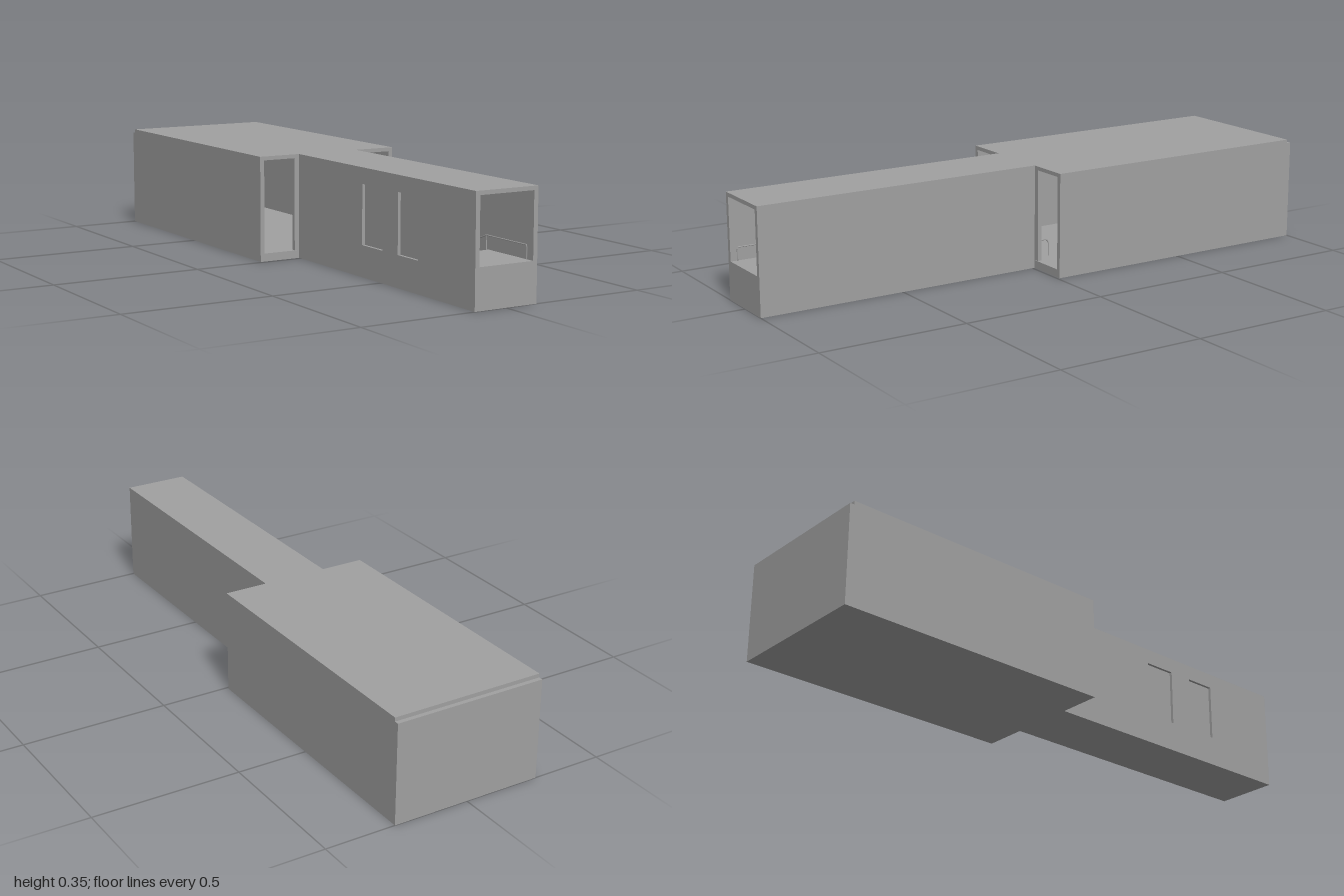
import * as THREE from 'three';

export function createModel() {
  const model = new THREE.Group();
  const grey = new THREE.MeshStandardMaterial({ color: 0xa0a0a0 });
  grey.name = 'plain grey';

  const add = (name, geometry) => {
    const mesh = new THREE.Mesh(geometry, grey);
    mesh.name = name;
    model.add(mesh);
    return mesh;
  };
  // box given by its limits on each axis
  const box = (name, x0, x1, y0, y1, z0, z1) =>
    add(name, new THREE.BoxGeometry(x1 - x0, y1 - y0, z1 - z0)
      .translate((x0 + x1) / 2, (y0 + y1) / 2, (z0 + z1) / 2));
  const rect = (Type, a0, a1, b0, b1) => new Type([[a0, b0], [a1, b0], [a1, b1], [a0, b1]]
    .map(([a, b]) => new THREE.Vector2(a, b)));
  // side profile drawn in (z, y), extruded from x0 to x1
  const sideExtrude = (name, shape, x0, x1) =>
    add(name, new THREE.ExtrudeGeometry(shape, { depth: x1 - x0, bevelEnabled: false })
      .rotateY(-Math.PI / 2).translate(x1, 0, 0));

  const top = 0.353, ceil = 0.34, floor = 0.027;
  const roomFront = -0.008, roomBack = -0.985;

  // room shell, open at the front on both sides of the corridor
  box('roomFloor', -0.26, 0.26, 0, floor, roomBack, roomFront);
  box('roomRoof', -0.26, 0.26, ceil, top, roomBack, roomFront);
  box('roomBackWall', -0.26, 0.26, 0, ceil, -1, roomBack);
  for (const s of [-1, 1]) {
    const [a, b] = [s * 0.245, s * 0.26].sort((p, q) => p - q);
    box('roomSideWall', a, b, floor, ceil, roomBack, roomFront);
    const [c, d] = [s * 0.097, s * 0.128].sort((p, q) => p - q);
    box('doorJamb', c, d, floor, ceil, -0.025, -0.01);
  }

  // raised frame on the inside of the back wall
  const frame = rect(THREE.Shape, -0.245, 0.245, floor, ceil);
  frame.holes.push(rect(THREE.Path, -0.223, 0.223, 0.043, 0.325));
  add('backWallFrame', new THREE.ExtrudeGeometry(frame, { depth: 0.015, bevelEnabled: false })
    .translate(0, 0, roomBack));

  // corridor roof, plain wall and wall with two door recesses
  box('corridorRoof', -0.112, 0.112, ceil, top, roomFront, 1);
  box('corridorLeftWall', 0.097, 0.112, 0, ceil, roomFront, 1);
  const wall = rect(THREE.Shape, roomFront, 1, 0, ceil);
  for (const [z0, z1] of [[0.39, 0.508], [0.595, 0.706]]) {
    wall.holes.push(rect(THREE.Path, z0, z1, 0.104, 0.3));
    box('doorPanel', -0.102, -0.094, 0.104, 0.3, z0, z1);
  }
  sideExtrude('corridorRightWall', wall, -0.112, -0.097);

  // stepped corridor floor: high entrance, landing, then stairs down to the room
  const profile = new THREE.Shape();
  profile.moveTo(roomFront, 0);
  profile.lineTo(1, 0);
  profile.lineTo(1, 0.13);
  profile.lineTo(0.78, 0.13);
  profile.lineTo(0.78, 0.117);
  profile.lineTo(0.74, 0.117);
  profile.lineTo(0.74, 0.104);
  const steps = 6, rise = (0.104 - floor) / steps;
  for (let i = 0; i < steps; i++) {
    const z = 0.3 - i * 0.05;
    profile.lineTo(z, 0.104 - i * rise);
    profile.lineTo(z, 0.104 - (i + 1) * rise);
  }
  profile.lineTo(roomFront, floor);
  sideExtrude('corridorFloor', profile, -0.097, 0.097);

  // handrails following the floor, with a rounded end inside the room
  for (const x of [-0.088, 0.088]) {
    const path = new THREE.CurvePath();
    const points = [[0.98, 0.132], [0.98, 0.176], [0.78, 0.176], [0.72, 0.152], [0.31, 0.152],
      [0.02, 0.085], [-0.07, 0.085], [-0.08, 0.075], [-0.08, 0.027]]
      .map(([z, y]) => new THREE.Vector3(x, y, z));
    for (let i = 1; i < points.length; i++) path.add(new THREE.LineCurve3(points[i - 1], points[i]));
    add('handrail', new THREE.TubeGeometry(path, 160, 0.002, 6));
    for (const [z, y0, y1] of [[0.78, 0.13, 0.176], [0.53, 0.104, 0.152], [0.31, 0.104, 0.152]]) {
      box('railPost', x - 0.0015, x + 0.0015, y0, y1, z - 0.0015, z + 0.0015);
    }
  }

  // small domed ceiling lamp
  const lamp = add('ceilingLamp', new THREE.SphereGeometry(0.014, 20, 8, 0, Math.PI * 2, Math.PI / 2, Math.PI / 2));
  lamp.position.set(0, ceil, 0.85);
  lamp.scale.y = 0.85;

  return model;
}
